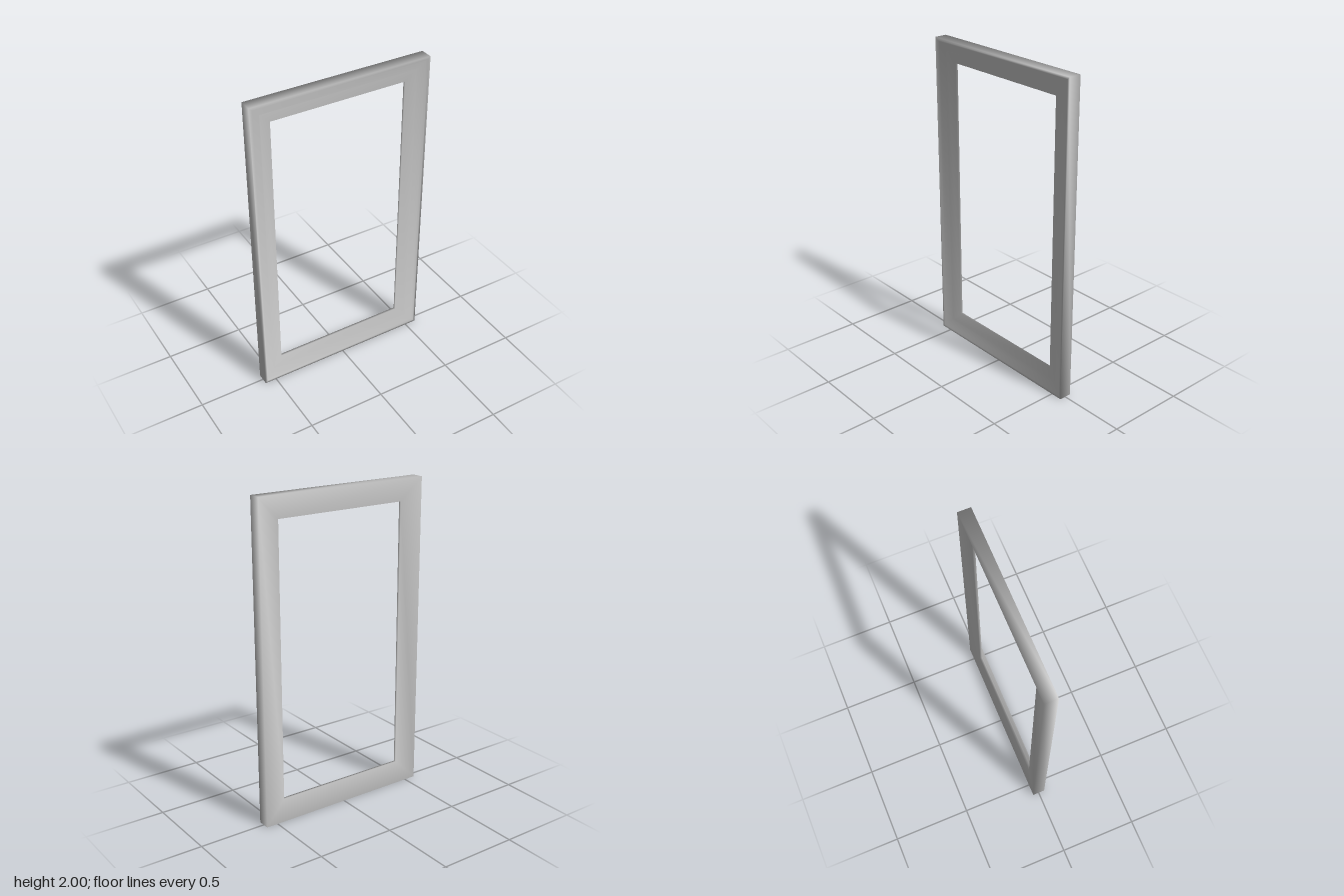
import * as THREE from 'three';

const WIDTH = 1.15, HEIGHT = 2;

// Moulding cross-section: [inset from the outer edge, z], from back to front
const PROFILE = [
  [0, -0.04], [0, 0.04],            // outer wall
  [0.015, 0.04], [0.025, 0.029],    // raised rim
  [0.068, 0.02], [0.074, 0.011],    // sloping band and small step
  [0.14, 0], [0.14, -0.016],        // inner slope and thin lip
];

// Sweeps the profile around a rectangle with mitred corners
function mitredFrame(width, height, profile) {
  const corners = [[-1, -1], [1, -1], [1, 1], [-1, 1]];
  const n = profile.length;
  const positions = [], index = [];
  corners.forEach(([sx, sy], c) => {
    const next = (c + 1) % 4;
    profile.forEach(([inset, z], i) => {
      positions.push(sx * (width / 2 - inset), sy * (height / 2 - inset), z);
      const j = (i + 1) % n;
      const a = c * n + i, b = next * n + i, d = next * n + j, e = c * n + j;
      index.push(a, b, d, a, d, e);
    });
  });
  const geometry = new THREE.BufferGeometry();
  geometry.setAttribute('position', new THREE.Float32BufferAttribute(positions, 3));
  geometry.setIndex(index);
  geometry.computeVertexNormals(); // shared vertices give the soft shading
  return geometry;
}

export function createModel() {
  const group = new THREE.Group();
  group.name = 'pictureFrame';
  const material = new THREE.MeshStandardMaterial({ color: 0xcccccc });
  const frame = new THREE.Mesh(mitredFrame(WIDTH, HEIGHT, PROFILE), material);
  frame.name = 'frameMoulding';
  frame.position.y = HEIGHT / 2;
  group.add(frame);
  return group;
}
